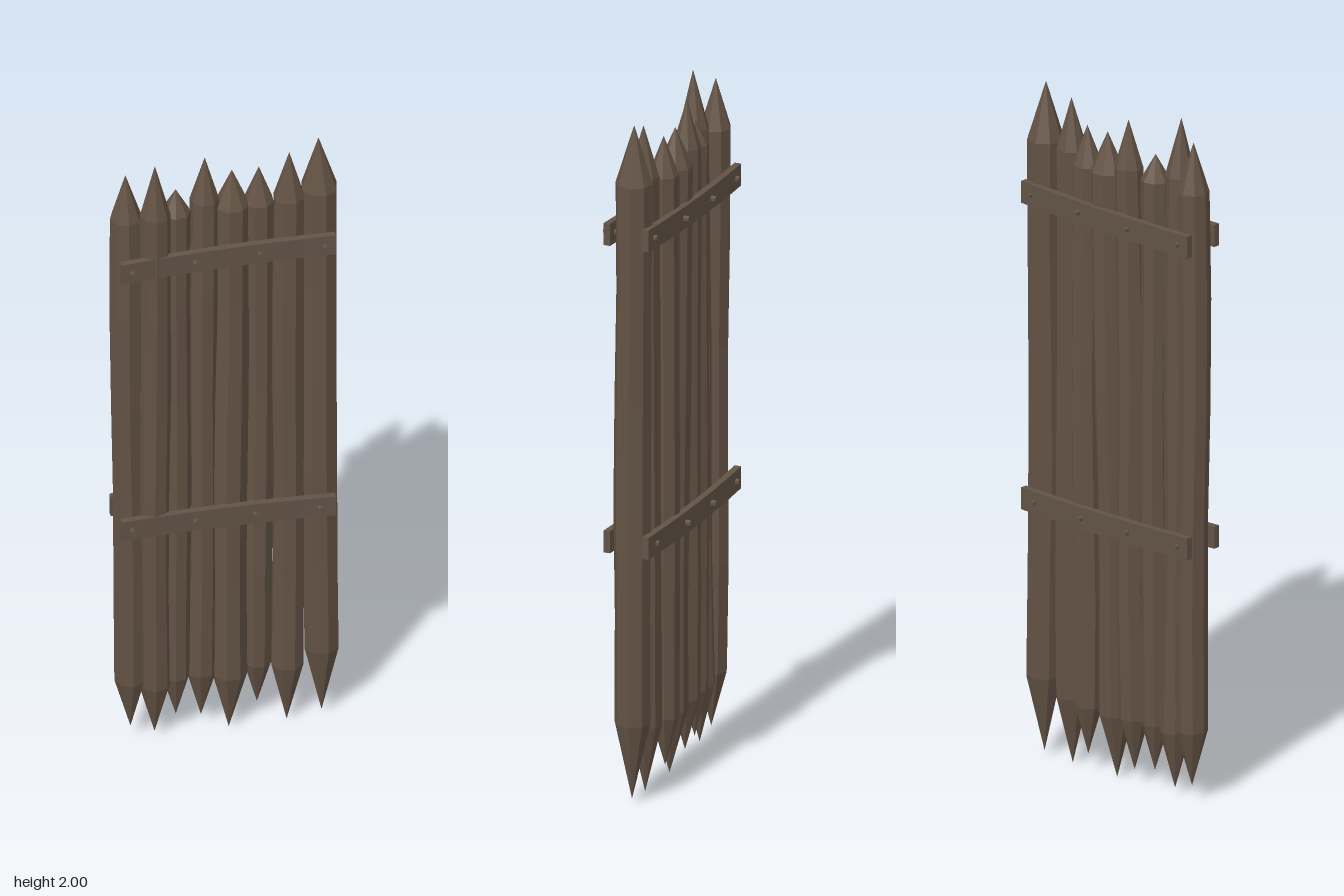
import * as THREE from 'three';

const logWood = new THREE.MeshStandardMaterial({ color: 0x635244 });
logWood.name = 'log wood';
const plankWood = new THREE.MeshStandardMaterial({ color: 0x625346 });
plankWood.name = 'plank wood';

// Facet a geometry so each face keeps its own normal
function faceted(geometry) {
  const g = geometry.toNonIndexed();
  g.computeVertexNormals();
  return g;
}

// Move each vertex by a rule
function reshape(geometry, rule) {
  const p = geometry.attributes.position;
  const v = new THREE.Vector3();
  for (let i = 0; i < p.count; i++) {
    rule(v.fromBufferAttribute(p, i));
    p.setXYZ(i, v.x, v.y, v.z);
  }
  return faceted(geometry);
}

// Stake: eight-sided log sharpened at both ends, leaning from foot to tip
function makeLog({ foot, tip, radius, shoulders }, index) {
  const [low, high] = shoulders;
  const profile = [new THREE.Vector2(0, foot[1])];
  const rings = 5;
  for (let i = 0; i <= rings; i++) {
    const r = radius * (1 + 0.04 * Math.sin(index * 2.3 + i * 1.9));
    profile.push(new THREE.Vector2(r, low + (high - low) * i / rings));
  }
  profile.push(new THREE.Vector2(0, tip[1]));
  const g = new THREE.LatheGeometry(profile, 8, index * 0.7);
  return reshape(g, (v) => {
    const t = (v.y - foot[1]) / (tip[1] - foot[1]);
    const wobble = 0.004 * Math.sin(t * Math.PI) * Math.sin(t * 7 + index * 2);
    v.x += THREE.MathUtils.lerp(foot[0], tip[0], t) + wobble;
    v.z += THREE.MathUtils.lerp(foot[2], tip[2], t) - wobble;
  });
}

// Cross plank: bows towards the back in its middle and tilts a little
function makePlank(x, y, z, width, rise, skew) {
  const g = new THREE.BoxGeometry(width, 0.065, 0.019, 6, 1, 1);
  return reshape(g, (v) => {
    const s = v.x / (width / 2);
    v.x += x;
    v.y += y + rise * s;
    v.z += z + skew * s - 0.01 * (1 - s * s);
  });
}

export function createModel() {
  const model = new THREE.Group();
  model.name = 'palisadeWall';
  const add = (name, geometry, material) => {
    const mesh = new THREE.Mesh(geometry, material);
    mesh.name = name;
    model.add(mesh);
    return mesh;
  };

  // Sharpened logs: foot and tip are x, y, z
  const logs = [
    { foot: [-0.270, 0.045, 0.003], tip: [-0.283, 1.955, -0.005], radius: 0.045, shoulders: [0.21, 1.81] },
    { foot: [-0.203, 0.02, 0.008], tip: [-0.207, 2.0, 0.030], radius: 0.044, shoulders: [0.19, 1.83] },
    { foot: [-0.140, 0.06, -0.005], tip: [-0.141, 1.885, -0.003], radius: 0.041, shoulders: [0.20, 1.81] },
    { foot: [-0.068, 0.045, -0.008], tip: [-0.055, 1.97, -0.019], radius: 0.042, shoulders: [0.20, 1.83] },
    { foot: [0.008, 0.0, 0.005], tip: [0.022, 1.915, -0.019], radius: 0.050, shoulders: [0.19, 1.80] },
    { foot: [0.093, 0.055, -0.02], tip: [0.098, 1.915, -0.018], radius: 0.042, shoulders: [0.20, 1.80] },
    { foot: [0.172, 0.0, 0.005], tip: [0.179, 1.97, 0.007], radius: 0.046, shoulders: [0.20, 1.82] },
    { foot: [0.272, 0.013, 0.0], tip: [0.264, 2.0, -0.003], radius: 0.052, shoulders: [0.24, 1.83] },
  ];
  logs.forEach((log, i) => add(`log${i + 1}`, makeLog(log, i), logWood));

  // Upper and lower planks on both faces, with pegs driven right through
  const rows = [
    { name: 'upper', y: 1.673, rise: 0.005, pegs: [-0.278, -0.098, 0.084, 0.267] },
    { name: 'lower', y: 0.772, rise: -0.002, pegs: [-0.278, -0.098, 0.072, 0.253] },
  ];
  const pegEnds = [[-0.080, 0.084], [-0.090, 0.077], [-0.090, 0.077], [-0.076, 0.087]];
  for (const { name, y, rise, pegs } of rows) {
    add(`${name}FrontPlank`, makePlank(-0.006, y, 0.063, 0.607, rise, 0.002), plankWood);
    add(`${name}BackPlank`, makePlank(-0.006, y, -0.056, 0.617, rise, 0.002), plankWood);
    pegs.forEach((x, i) => {
      const [back, front] = pegEnds[i];
      const g = new THREE.CylinderGeometry(0.009, 0.009, front - back, 6);
      g.rotateX(Math.PI / 2);
      const peg = add(`${name}Peg${i + 1}`, faceted(g), plankWood);
      peg.position.set(x, y + rise * x / 0.3, (front + back) / 2);
    });
  }
  return model;
}
